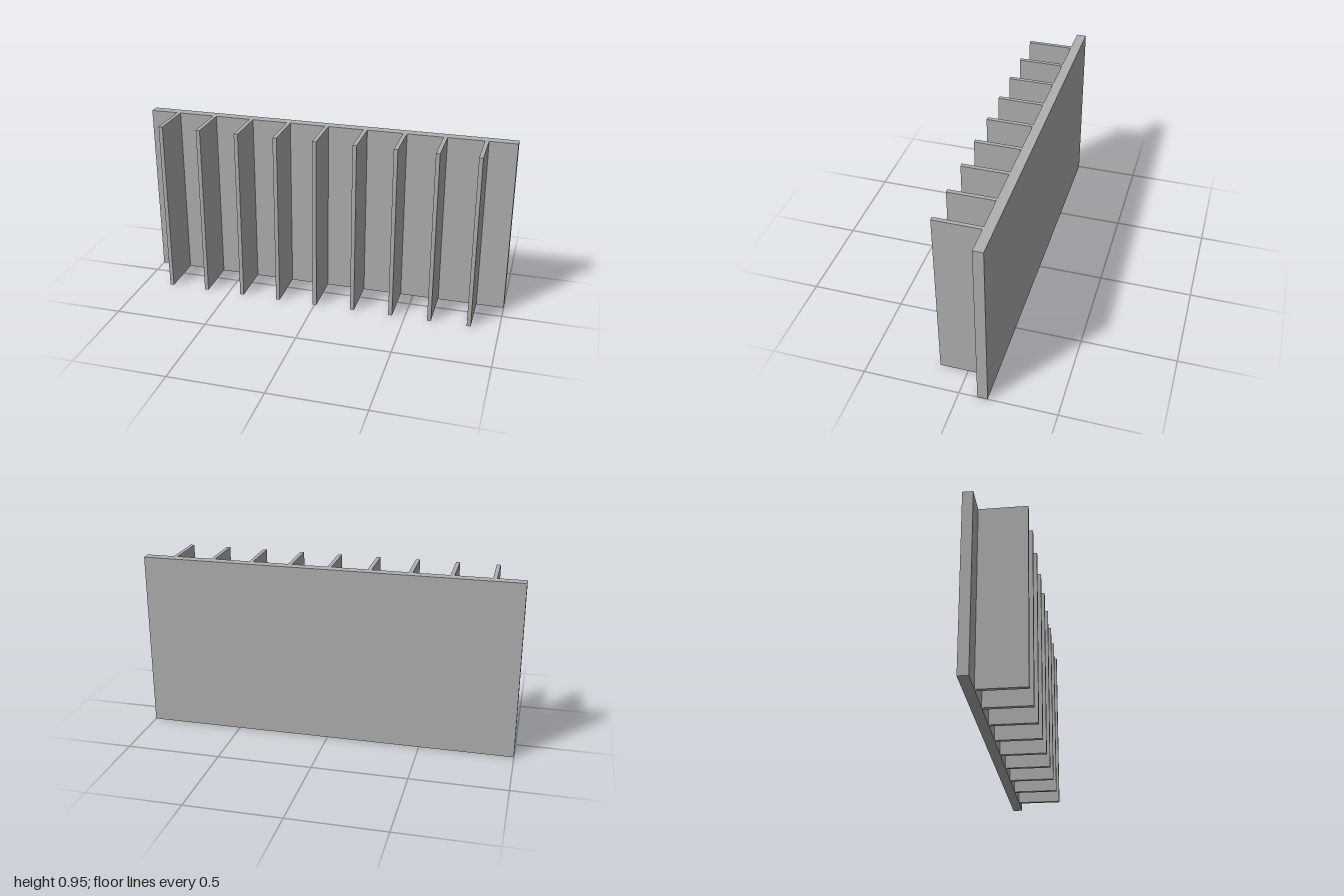
import * as THREE from 'three';

const HEIGHT = 0.947;
const BACK = -0.1474, PLATE_FRONT = -0.0947, FIN_FRONT = 0.1474;
const FIN_COUNT = 9, FIN_SPACING = 0.2105, FIN_THICKNESS = 0.021;

export function createModel() {
  const model = new THREE.Group();
  model.name = 'finnedPanel';

  const grey = new THREE.MeshStandardMaterial({ color: 0xb0b0b0 });
  grey.name = 'grey';

  // Upright block spanning z0 to z1 and standing on the ground
  function addBlock(name, x, width, z0, z1) {
    const mesh = new THREE.Mesh(new THREE.BoxGeometry(width, HEIGHT, z1 - z0), grey);
    mesh.name = name;
    mesh.position.set(x, HEIGHT / 2, (z0 + z1) / 2);
    model.add(mesh);
  }

  // Flat back plate
  addBlock('backPlate', 0, 2, BACK, PLATE_FRONT);

  // Evenly spaced vertical fins on the front
  for (let i = 0; i < FIN_COUNT; i++) {
    const x = (i - (FIN_COUNT - 1) / 2) * FIN_SPACING;
    addBlock(`fin${i + 1}`, x, FIN_THICKNESS, PLATE_FRONT, FIN_FRONT);
  }

  return model;
}
